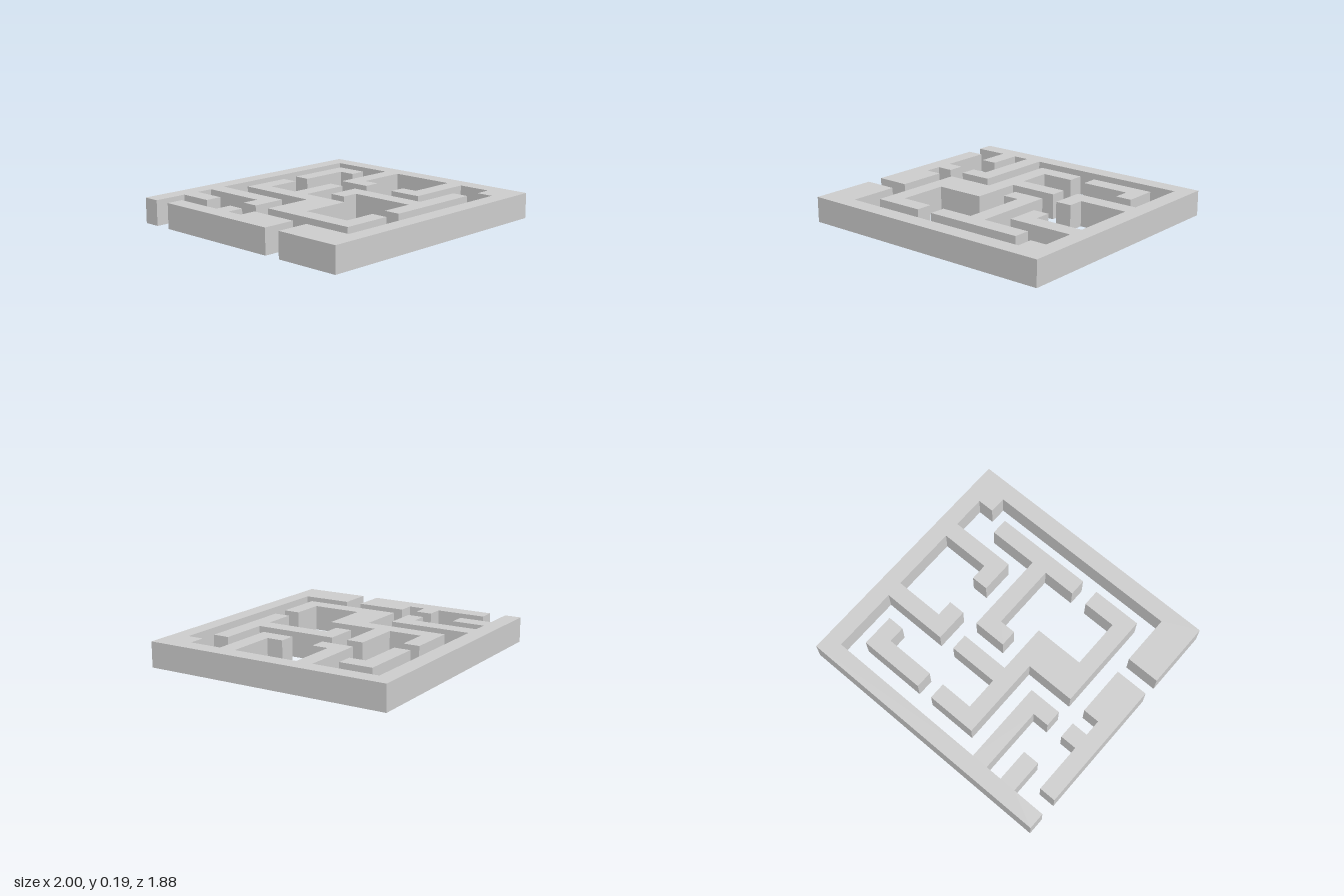
import * as THREE from 'three';

const CELL = 0.125;      // maze grid: 16 columns by 15 rows
const HEIGHT = 0.1875;

// Wall outlines as [column, row] corners, seen from above
const walls = {
  outerWall: [
    [0, 0], [16, 0], [16, 15], [0, 15], [0, 11], [2, 11], [2, 14], [14, 14], [14, 13], [15, 13],
    [15, 11], [11, 11], [11, 9], [12, 9], [12, 10], [15, 10], [15, 6], [12, 6], [12, 7], [11, 7],
    [11, 5], [15, 5], [15, 1], [5, 1], [5, 6], [3, 6], [3, 5], [4, 5], [4, 1], [3, 1],
    [3, 3], [2, 3], [2, 1], [0, 1],
  ],
  sideWall: [
    [0, 2], [1, 2], [1, 5], [2, 5], [2, 6], [1, 6], [1, 7], [2, 7], [2, 10], [0, 10],
  ],
  centreWall: [
    [6, 2], [9, 2], [9, 3], [7, 3], [7, 5], [10, 5], [10, 6], [7, 6],
    [7, 9], [4, 9], [4, 12], [6, 12], [6, 13], [3, 13], [3, 7], [6, 7],
  ],
  hookWall: [[10, 2], [14, 2], [14, 4], [13, 4], [13, 3], [10, 3]],
  frontWall: [
    [8, 7], [10, 7], [10, 12], [13, 12], [13, 13], [7, 13], [7, 12], [9, 12], [9, 8], [8, 8],
  ],
};

// Extrude an outline to wall height, standing on the ground
function wallGeometry(outline) {
  const points = outline.map(([c, r]) => new THREE.Vector2((c - 8) * CELL, (r - 7.5) * CELL));
  const geometry = new THREE.ExtrudeGeometry(new THREE.Shape(points), { depth: HEIGHT, bevelEnabled: false });
  return geometry.rotateX(Math.PI / 2).translate(0, HEIGHT, 0);
}

export function createModel() {
  const model = new THREE.Group();
  model.name = 'maze';
  const material = new THREE.MeshStandardMaterial({ color: 0xcccccc, flatShading: true });
  for (const [name, outline] of Object.entries(walls)) {
    const mesh = new THREE.Mesh(wallGeometry(outline), material);
    mesh.name = name;
    model.add(mesh);
  }
  return model;
}
